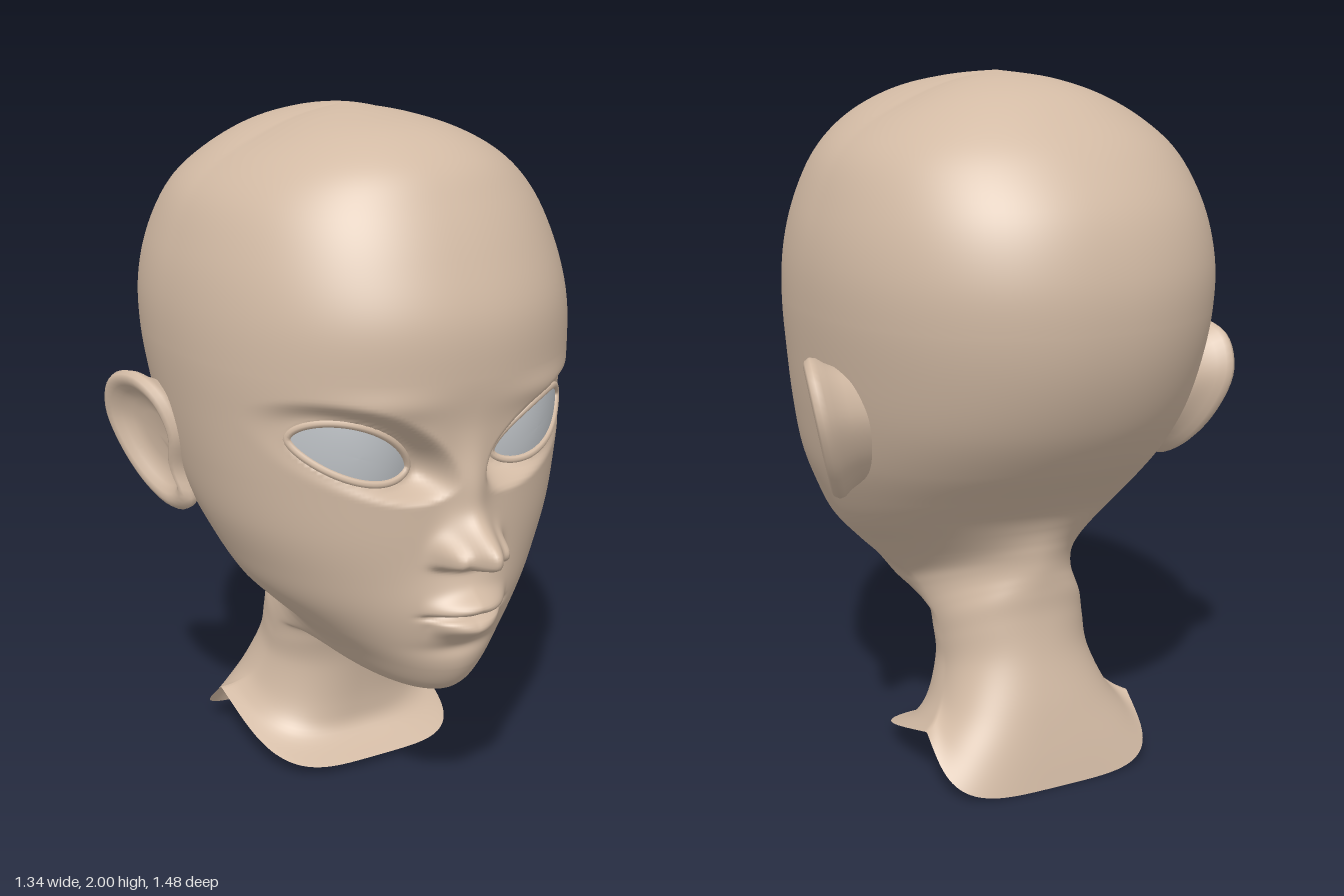
import * as THREE from 'three';

const skin = new THREE.MeshStandardMaterial({ color: 0xd2baa4, side: THREE.DoubleSide });
skin.name = 'skin';
const eyeGrey = new THREE.MeshStandardMaterial({ color: 0xbcc0c4, side: THREE.DoubleSide });
eyeGrey.name = 'eye grey';

// Guide rings, from crown to chin:
// front y, z | side x, y, z | back y, z | squareness
const headRings = [
  [2.0, -0.08, 0, 2.0, -0.08, 2.0, -0.08, 2.1],
  [1.985, 0.1, 0.15, 1.97, -0.08, 1.985, -0.24, 2.1],
  [1.95, 0.28, 0.28, 1.92, -0.08, 1.945, -0.38, 2.2],
  [1.88, 0.41, 0.4, 1.855, -0.08, 1.87, -0.5, 2.2],
  [1.78, 0.49, 0.49, 1.765, -0.08, 1.78, -0.6, 2.2],
  [1.65, 0.56, 0.548, 1.63, -0.08, 1.65, -0.69, 2.2],
  [1.5, 0.615, 0.576, 1.5, -0.08, 1.5, -0.735, 2.2],
  [1.35, 0.62, 0.58, 1.36, -0.06, 1.36, -0.738, 2.2],
  [1.2, 0.6, 0.566, 1.2, -0.03, 1.22, -0.71, 2.2],
  [1.05, 0.588, 0.545, 1.05, 0, 1.08, -0.65, 2.2],
  [0.9, 0.584, 0.515, 0.91, 0.03, 0.96, -0.565, 2.15],
  [0.78, 0.58, 0.468, 0.79, 0.05, 0.86, -0.47, 2.1],
  [0.68, 0.58, 0.42, 0.7, 0.07, 0.79, -0.41, 2.0],
  [0.58, 0.575, 0.345, 0.62, 0.07, 0.74, -0.385, 1.95],
  [0.5, 0.565, 0.28, 0.56, 0.05, 0.7, -0.375, 1.9],
];
// Under the jaw, down the neck and out to the open collar
const neckRings = [
  [0.43, 0.52, 0.24, 0.525, 0.02, 0.67, -0.372, 1.9],
  [0.4, 0.45, 0.226, 0.5, -0.02, 0.64, -0.37, 1.85],
  [0.41, 0.32, 0.22, 0.475, -0.06, 0.61, -0.37, 1.85],
  [0.435, 0.2, 0.218, 0.45, -0.1, 0.58, -0.37, 1.95],
  [0.455, 0.105, 0.217, 0.42, -0.14, 0.54, -0.37, 2.1],
  [0.4, 0.062, 0.217, 0.37, -0.16, 0.47, -0.372, 2.2],
  [0.3, 0.032, 0.222, 0.3, -0.19, 0.36, -0.392, 2.2],
  [0.16, 0.015, 0.255, 0.22, -0.23, 0.22, -0.435, 2.6],
  [0.08, 0.03, 0.295, 0.18, -0.27, 0.1, -0.467, 3.3],
  [0.025, 0.125, 0.335, 0.16, -0.3, 0, -0.49, 4],
];

const smooth = THREE.MathUtils.smoothstep;
const lerp = THREE.MathUtils.lerp;
const bell = (v, centre, width, power = 2) => Math.exp(-Math.pow(Math.abs((v - centre) / width), power));

// Smooth blend of four neighbouring values
function spline(a, b, c, d, t) {
  return 0.5 * (2 * b + (c - a) * t + (2 * a - 5 * b + 4 * c - d) * t * t + (3 * b - a - 3 * c + d) * t ** 3);
}

// Skin over closed loops; point(row, col) returns [x, y, z]
function loft(rows, cols, point) {
  const pos = [], index = [];
  for (let i = 0; i < rows; i++) {
    for (let j = 0; j < cols; j++) {
      pos.push(...point(i, j));
      if (i === rows - 1) continue;
      const a = i * cols + j, c = i * cols + (j + 1) % cols;
      index.push(a, a + cols, c, c, a + cols, c + cols);
    }
  }
  const geo = new THREE.BufferGeometry();
  geo.setAttribute('position', new THREE.Float32BufferAttribute(pos, 3));
  geo.setIndex(index);
  geo.computeVertexNormals();
  return geo;
}

// Eye opening: a sheared, slightly pointed ellipse on a curved surface
const EYE = { x: 0.287, y: 1.1425, w: 0.1425, up: 0.082, down: 0.064, slant: 0.3 };
const eyeZ = (x, y) => 0.51 - 2.83 * (x - 0.22) ** 2 - 0.8 * (y - 1.16) ** 2;
const eyeMid = x => EYE.y + EYE.slant * (x - EYE.x);
function eyePoint(angle, scale) {
  const s = Math.sin(angle);
  const x = EYE.x + EYE.w * scale * Math.cos(angle);
  const y = eyeMid(x) + (s > 0 ? EYE.up : EYE.down) * scale * s * Math.pow(Math.abs(s), 0.2);
  return [x, y, eyeZ(x, y)];
}

// Relief of the nose, lips and brow, then the eye sockets
function sculptFace(x, y, z) {
  const ax = Math.abs(x);
  let relief = 0;
  // nose
  relief += 0.035 * bell(y, 1.03, 0.12) * bell(x, 0, 0.055);
  relief += 0.15 * (y > 0.875 ? bell(y, 0.875, 0.07) : bell(y, 0.875, 0.05, 4)) * bell(x, 0, 0.06);
  relief += 0.065 * (y > 0.865 ? bell(y, 0.865, 0.04) : bell(y, 0.865, 0.035, 4)) * bell(ax, 0.078, 0.028);
  // lips
  relief += 0.045 * bell(x, 0, 0.13) * bell(y, 0.7, 0.1);
  relief += 0.045 * Math.max(0, 1 - (x / 0.14) ** 2) * bell(y, 0.717 - 0.12 * ax, 0.027);
  relief += 0.04 * Math.max(0, 1 - (x / 0.115) ** 2) * bell(y, 0.643 + 0.12 * ax, 0.03);
  relief -= 0.035 * bell(x, 0, 0.125, 6) * bell(y, 0.683, 0.009);
  relief -= 0.012 * bell(x, 0, 0.1) * bell(y, 0.575, 0.025);
  // brow
  relief += 0.012 * bell(ax, 0.27, 0.14) * bell(y, 1.285, 0.04);
  z += relief;
  // sockets
  const dy = y - eyeMid(ax);
  const d = Math.hypot((ax - EYE.x) / EYE.w, dy / (dy > 0 ? EYE.up : EYE.down));
  const target = eyeZ(ax, y) + 0.006 - 0.028 * (1 - smooth(d, 0.9, 1.08));
  return lerp(z, target, 1 - smooth(d, 1.08, 1.75));
}

function makeHead() {
  const rings = [...headRings, ...neckRings], last = rings.length - 1, rows = [];
  for (let k = 0; k < last; k++) {
    const steps = k >= 7 && k < 14 ? 16 : 6;
    const [a, b, c, d] = [-1, 0, 1, 2].map(o => rings[THREE.MathUtils.clamp(k + o, 0, last)]);
    for (let s = 0; s < steps; s++) rows.push(b.map((v, m) => spline(a[m], v, c[m], d[m], s / steps)));
  }
  rows.push(rings[last]);
  const cols = 192;
  return loft(rows.length, cols, (i, j) => {
    const [fy, fz, sx, sy, sz, by, bz, n] = rows[i];
    const u = (j / cols) * Math.PI * 2;
    const t = u - 0.5 * Math.sin(u); // columns gather towards the face
    const s = Math.sin(t), c = Math.cos(t);
    const r = Math.pow(Math.abs(s) ** n + Math.abs(c) ** n, -1 / n);
    const k = Math.abs(c) * r, x = sx * s * r;
    const y = lerp(sy, c > 0 ? fy : by, k);
    let z = lerp(sz, c > 0 ? fz : bz, k);
    if (z > 0.08 && y > 0.47 && y < 1.5) z = sculptFace(x, y, z);
    return [x, y, z];
  });
}

// Ear: bowl, rolled rim and tapering back, all following one outline (z, y)
function makeEar() {
  const outline = new THREE.CatmullRomCurve3([
    [-0.07, 1.1], [-0.1, 0.98], [-0.085, 0.88], [-0.15, 0.845], [-0.24, 0.89],
    [-0.32, 1.0], [-0.352, 1.13], [-0.3, 1.235], [-0.2, 1.262], [-0.11, 1.21],
  ].map(([z, y]) => new THREE.Vector3(0, y, z)), true);
  // scale of the outline, height from the ear plane
  const section = [[0, -0.04], [0.35, -0.04], [0.55, -0.032], [0.68, -0.014], [0.78, 0.004], [0.87, 0.01],
    [0.95, 0.004], [1, -0.012], [0.98, -0.03], [0.9, -0.05], [0.8, -0.09], [0.7, -0.18]];
  const cols = 48, points = outline.getSpacedPoints(cols);
  return loft(section.length, cols, (i, j) => {
    const [scale, h] = section[i];
    const y = lerp(1.07, points[j].y, scale), z = lerp(-0.2, points[j].z, scale);
    return [0.565 + 0.33 * (-0.08 - z) + 0.2 * (y - 1.1) + h, y, z];
  });
}

export function createModel() {
  const model = new THREE.Group();
  model.name = 'mannequinHead';
  const add = (name, geometry, material, mirrored) => {
    const mesh = new THREE.Mesh(geometry, material);
    mesh.name = name;
    if (mirrored) mesh.scale.x = -1;
    model.add(mesh);
  };

  add('headAndNeck', makeHead(), skin);

  const ear = makeEar();
  const eye = loft(9, 48, (i, j) => eyePoint((j / 48) * Math.PI * 2, i / 8 * 1.03));
  const rim = new THREE.CatmullRomCurve3(
    Array.from({ length: 40 }, (_, k) => new THREE.Vector3(...eyePoint((k / 40) * Math.PI * 2, 1.06))), true);
  const lids = new THREE.TubeGeometry(rim, 80, 0.011, 8, true);
  for (const [side, mirrored] of [['left', false], ['right', true]]) {
    add(side + 'Ear', ear, skin, mirrored);
    add(side + 'Eye', eye, eyeGrey, mirrored);
    add(side + 'Eyelids', lids, skin, mirrored);
  }
  return model;
}
